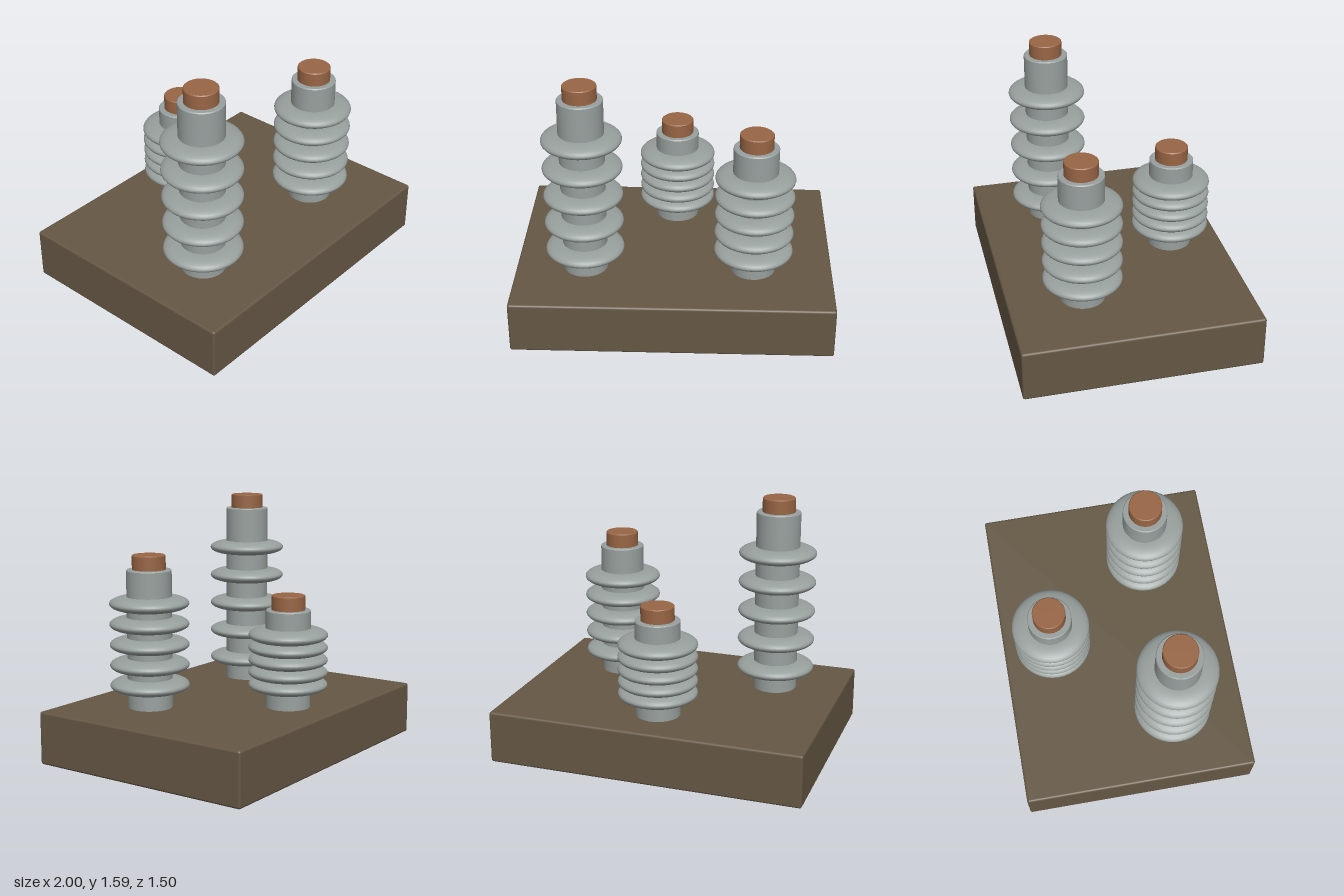
import * as THREE from 'three';
import { RoundedBoxGeometry } from 'three/addons/geometries/RoundedBoxGeometry.js';
import { toCreasedNormals } from 'three/addons/utils/BufferGeometryUtils.js';

const baseBrown = new THREE.MeshStandardMaterial({ color: 0x655744 });
const porcelainGrey = new THREE.MeshStandardMaterial({ color: 0x98a09e });
const copper = new THREE.MeshStandardMaterial({ color: 0x986544 });

const BASE_TOP = 0.335;
const SEGMENTS = 40;

function addMesh(parent, name, geometry, material, y = 0) {
  const mesh = new THREE.Mesh(geometry, material);
  mesh.name = name;
  mesh.position.y = y;
  parent.add(mesh);
}

// Upright cylinder with a small chamfer on its top edge
function post(radius, bottom, top, bevel) {
  const profile = [
    [0, bottom], [radius, bottom], [radius, top - bevel], [radius - bevel, top], [0, top],
  ].map(([r, y]) => new THREE.Vector2(r, y));
  return toCreasedNormals(new THREE.LatheGeometry(profile, SEGMENTS), 0.6);
}

// Flattened ring with an elliptical section
function shed() {
  const profile = [];
  for (let i = 0; i <= 16; i++) {
    const a = -Math.PI / 2 + (i / 16) * Math.PI;
    profile.push(new THREE.Vector2(0.13 + 0.117 * Math.cos(a), 0.044 * Math.sin(a)));
  }
  return new THREE.LatheGeometry(profile, SEGMENTS);
}

// Column, five evenly spaced sheds and a copper terminal
function insulator(name, x, z, top, spacing) {
  const group = new THREE.Group();
  group.name = name;
  group.position.set(x, 0, z);
  addMesh(group, 'column', post(0.14, BASE_TOP - 0.01, top, 0.006), porcelainGrey);
  for (let i = 0; i < 5; i++) {
    addMesh(group, `shed${i + 1}`, shed(), porcelainGrey, 0.476 + i * spacing);
  }
  addMesh(group, 'terminal', post(0.104, top - 0.02, top + 0.09, 0.005), copper);
  return group;
}

export function createModel() {
  const model = new THREE.Group();
  model.name = 'insulatorBank';

  // Softly rounded base block
  addMesh(model, 'base', new RoundedBoxGeometry(2, BASE_TOP, 1.5, 3, 0.015), baseBrown, BASE_TOP / 2);

  model.add(
    insulator('tallInsulator', -0.56, 0.277, 1.503, 0.19),
    insulator('shortInsulator', 0, -0.419, 0.947, 0.0785),
    insulator('mediumInsulator', 0.5, 0.277, 1.198, 0.128),
  );
  return model;
}
